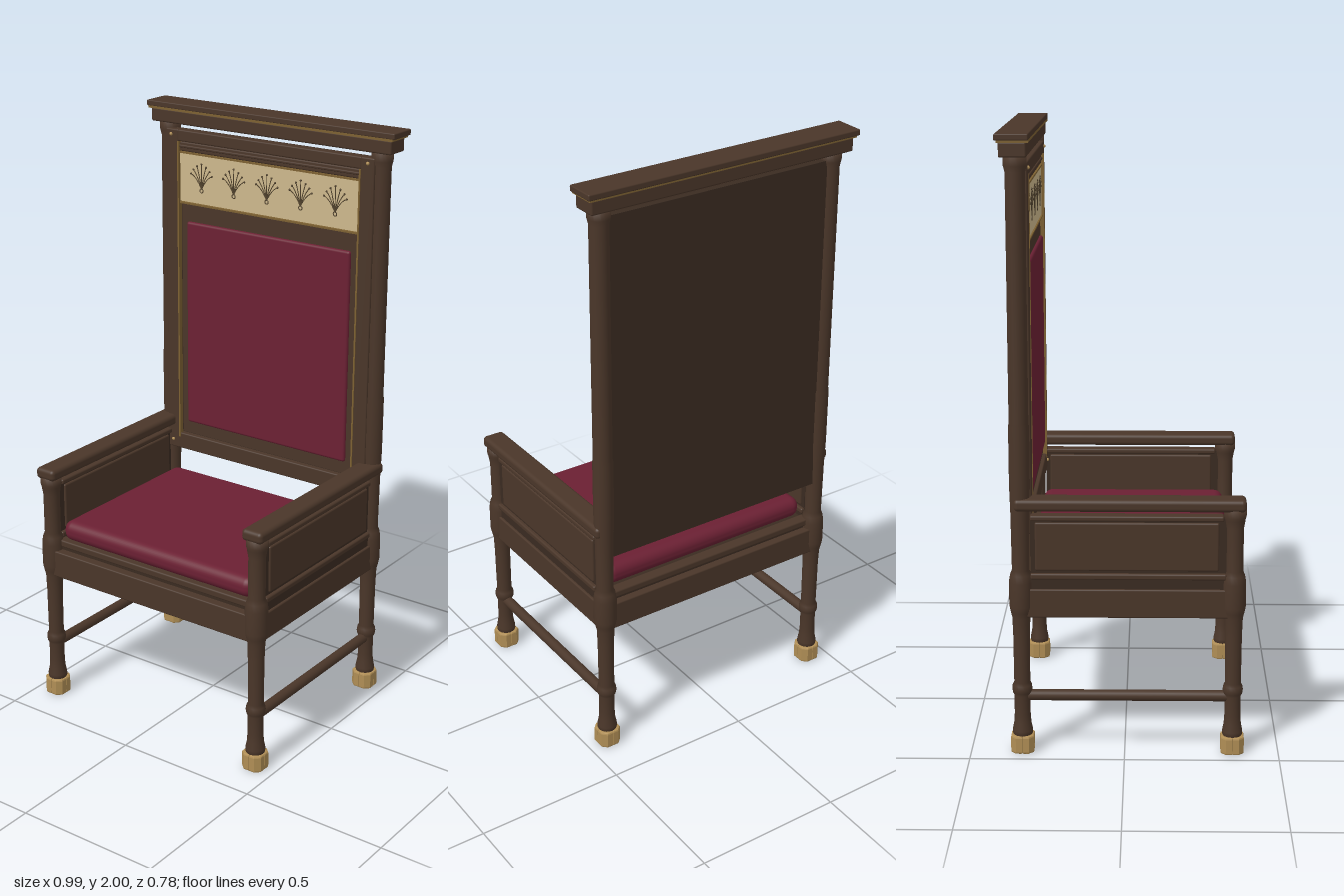
import * as THREE from 'three';
import { RoundedBoxGeometry } from 'three/addons/geometries/RoundedBoxGeometry.js';

const mat = (color) => new THREE.MeshStandardMaterial({ color });
const wood = mat(0x4a3629), darkWood = mat(0x3a2b21), velvet = mat(0x6b2033);
const ivory = mat(0xcdb88c), gold = mat(0xb08e55), trim = mat(0x7d6132), ink = mat(0x54452f);

export function createModel() {
  const chair = new THREE.Group();
  chair.name = 'highBackArmchair';

  function add(name, geometry, material, x = 0, y = 0, z = 0, parent = chair) {
    const mesh = new THREE.Mesh(geometry, material);
    mesh.name = name;
    mesh.position.set(x, y, z);
    parent.add(mesh);
    return mesh;
  }

  // Box given by its limits on each axis; r rounds the edges
  function block(name, material, [x0, x1], [y0, y1], [z0, z1], r = 0) {
    const w = x1 - x0, h = y1 - y0, d = z1 - z0;
    const g = r ? new RoundedBoxGeometry(w, h, d, 4, r) : new THREE.BoxGeometry(w, h, d);
    return add(name, g, material, (x0 + x1) / 2, (y0 + y1) / 2, (z0 + z1) / 2);
  }

  // Same block on both sides of the chair
  function pair(name, material, [x0, x1], ys, zs, r = 0) {
    block(name + 'Left', material, [x0, x1], ys, zs, r);
    block(name + 'Right', material, [-x1, -x0], ys, zs, r);
  }

  const turned = (pts) =>
    new THREE.LatheGeometry(pts.map(([r, y]) => new THREE.Vector2(r, y)), 20);

  // Turned legs: shared lower part, then a short front or a tall back post
  const lower = [
    [0.028, 0.05], [0.033, 0.065], [0.033, 0.075], [0.028, 0.1], [0.026, 0.13], [0.026, 0.195],
    [0.031, 0.205], [0.033, 0.217], [0.031, 0.23], [0.026, 0.24], [0.027, 0.4], [0.029, 0.46],
    [0.034, 0.48], [0.038, 0.5], [0.038, 0.58], [0.034, 0.605], [0.028, 0.62],
  ];
  const frontPost = turned([...lower, [0.028, 0.76], [0.033, 0.79], [0.036, 0.8], [0.036, 0.825], [0, 0.825]]);
  const backPost = turned([...lower, [0.03, 0.8], [0.033, 0.9], [0.033, 1.09], [0.031, 1.1],
    [0.031, 1.88], [0.036, 1.9], [0.036, 1.93], [0, 1.93]]);

  // Paw foot: chamfered square with a cleft in each side
  const pawPoints = [];
  for (let i = 0; i < 4; i++) {
    for (const [u, v] of [[0.034, -0.02], [0.034, -0.004], [0.027, 0], [0.034, 0.004], [0.034, 0.02], [0.02, 0.034]]) {
      const a = (i * Math.PI) / 2;
      pawPoints.push(new THREE.Vector2(u * Math.cos(a) - v * Math.sin(a), u * Math.sin(a) + v * Math.cos(a)));
    }
  }
  pawPoints.forEach((p) => p.multiplyScalar(0.96));
  const paw = new THREE.ExtrudeGeometry(new THREE.Shape(pawPoints), {
    depth: 0.048, bevelThickness: 0.006, bevelSize: 0.005, bevelSegments: 2,
  });
  paw.rotateX(-Math.PI / 2).translate(0, 0.006, 0);

  const FRONT = 0.35, BACK = -0.332, SIDE = 0.427;
  for (const [side, s] of [['Left', 1], ['Right', -1]]) {
    add('frontLeg' + side, frontPost, wood, s * SIDE, 0, FRONT);
    add('backPost' + side, backPost, wood, s * SIDE, 0, BACK);
    add('frontFoot' + side, paw, gold, s * SIDE, 0, FRONT);
    add('backFoot' + side, paw, gold, s * SIDE, 0, BACK);
    const bar = new THREE.CylinderGeometry(0.018, 0.018, FRONT - BACK, 14).rotateX(Math.PI / 2);
    add('stretcher' + side, bar, wood, s * SIDE, 0.193, (FRONT + BACK) / 2);
  }

  // Seat frame, ledge and cushion
  block('seatRailFront', wood, [-0.41, 0.41], [0.465, 0.56], [0.325, 0.375], 0.005);
  block('seatRailBack', wood, [-0.41, 0.41], [0.465, 0.56], [-0.355, -0.31], 0.005);
  pair('seatRailSide', wood, [0.4, 0.45], [0.465, 0.56], [-0.33, 0.35], 0.005);
  block('seatBoard', darkWood, [-0.41, 0.41], [0.54, 0.575], [-0.33, 0.345]);
  block('ledgeFront', wood, [-0.405, 0.405], [0.57, 0.595], [0.31, 0.35], 0.006);
  block('ledgeBack', wood, [-0.405, 0.405], [0.57, 0.595], [-0.34, -0.3], 0.006);
  const cushion = block('seatCushion', velvet, [-0.395, 0.395], [0.59, 0.662], [-0.305, 0.34], 0.032);
  // Slight crown on the cushion top
  const cp = cushion.geometry.attributes.position;
  for (let i = 0; i < cp.count; i++) if (cp.getY(i) < 0) cp.setY(i, Math.max(cp.getY(i), -0.033));

  // Arm rests and side panels
  pair('armRest', wood, [0.387, 0.465], [0.82, 0.86], [-0.35, 0.385], 0.014);
  pair('armPanel', darkWood, [0.415, 0.437], [0.6, 0.795], [-0.3, 0.325]);
  pair('armPanelField', wood, [0.408, 0.443], [0.62, 0.78], [-0.285, 0.3], 0.006);
  pair('armPanelTopRail', wood, [0.405, 0.447], [0.785, 0.803], [-0.3, 0.315], 0.006);
  pair('armPanelBottomRail', wood, [0.403, 0.449], [0.592, 0.612], [-0.3, 0.325], 0.006);
  pair('armPanelBase', darkWood, [0.41, 0.442], [0.555, 0.6], [-0.31, 0.33]);

  // Back panel with its raised frame
  block('backPanel', darkWood, [-0.405, 0.405], [0.74, 1.905], [-0.35, -0.315]);
  pair('backStile', wood, [0.367, 0.42], [0.735, 1.91], [-0.33, -0.295], 0.005);
  block('backRailTop', wood, [-0.37, 0.37], [1.87, 1.91], [-0.33, -0.295], 0.005);
  block('backRailBottom', wood, [-0.37, 0.37], [0.735, 0.795], [-0.33, -0.295], 0.005);
  block('friezeMoulding', wood, [-0.367, 0.367], [1.835, 1.868], [-0.33, -0.303], 0.005);
  block('friezeMouldingBead', wood, [-0.367, 0.367], [1.848, 1.858], [-0.32, -0.298], 0.004);
  block('upholsteryBorder', wood, [-0.36, 0.36], [0.8, 1.65], [-0.325, -0.308]);
  block('backUpholstery', velvet, [-0.335, 0.335], [0.845, 1.59], [-0.32, -0.297], 0.009);

  // Thin gilt lines and corner studs
  pair('giltLine', trim, [0.364, 0.37], [0.78, 1.87], [-0.31, -0.293]);
  for (const y of [1.655, 1.832]) block('giltLineAcross', trim, [-0.367, 0.367], [y - 0.003, y + 0.003], [-0.32, -0.299]);
  const stud = new THREE.SphereGeometry(0.006, 10, 8);
  for (const s of [1, -1]) for (const y of [0.765, 1.892]) add('stud', stud, gold, s * 0.396, y, -0.294);

  // Ivory frieze with five fan-leaf ornaments
  block('frieze', ivory, [-0.364, 0.364], [1.66, 1.828], [-0.325, -0.303]);
  const leaf = (angle, length) => {
    const path = new THREE.QuadraticBezierCurve3(
      new THREE.Vector3(0, 0, 0),
      new THREE.Vector3(Math.sin(angle) * length * 0.45, length * 0.6, 0),
      new THREE.Vector3(Math.sin(angle) * length, Math.cos(angle) * length, 0));
    return new THREE.TubeGeometry(path, 8, 0.0016, 5);
  };
  const tip = new THREE.SphereGeometry(0.0038, 8, 6);
  for (let i = -2; i <= 2; i++) {
    const fan = new THREE.Group();
    fan.name = 'friezeFan';
    fan.position.set(i * 0.136, 1.712, -0.302);
    for (let k = -3; k <= 3; k++) {
      const a = k * 0.24, len = 0.088 - Math.abs(k) * 0.007;
      add('leaf', leaf(a, len), ink, 0, 0, 0, fan);
      add('leafTip', tip, ink, Math.sin(a) * len, Math.cos(a) * len, 0, fan);
    }
    add('fanBase', new THREE.TorusGeometry(0.007, 0.0018, 5, 14), ink, 0, -0.005, 0, fan);
    chair.add(fan);
  }

  // Stepped cornice
  block('corniceLower', wood, [-0.48, 0.48], [1.928, 1.975], [-0.378, -0.293], 0.006);
  block('corniceGilt', trim, [-0.487, 0.487], [1.973, 1.983], [-0.383, -0.287]);
  block('corniceTop', wood, [-0.495, 0.495], [1.98, 2.0], [-0.39, -0.286], 0.004);
  return chair;
}
